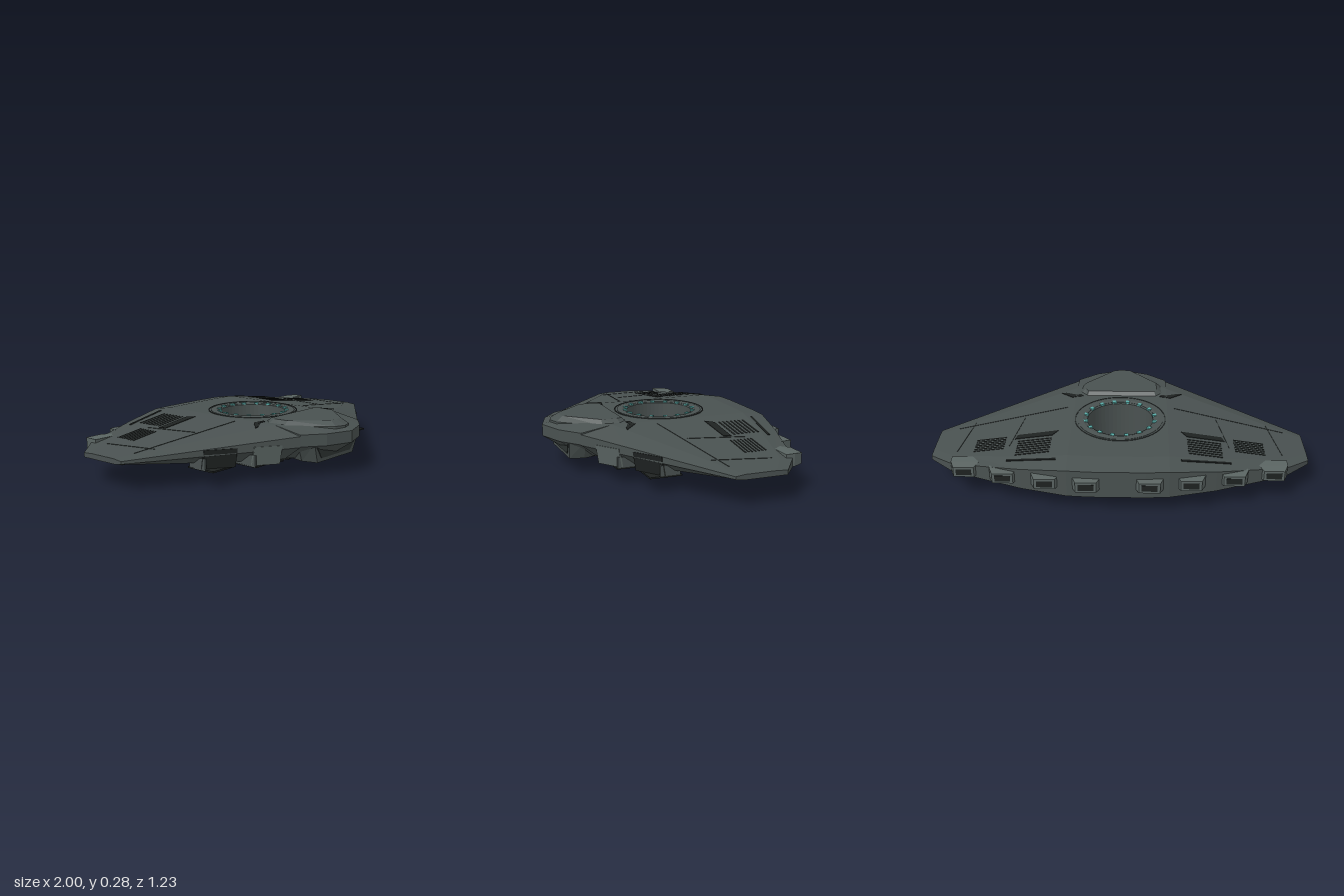
import * as THREE from 'three';

const mat = (name, color) => {
  const m = new THREE.MeshStandardMaterial({ color });
  m.name = name;
  return m;
};

export function createModel() {
  const hull = mat('hull grey', 0x495150);
  const trim = mat('light trim', 0x5a6462);
  const dark = mat('dark recess', 0x1e2221);
  const seam = mat('panel seam', 0x303635);
  const teal = mat('teal light', 0x58aaa6);
  const ship = new THREE.Group();
  ship.name = 'ship';

  const add = (name, geo, m, parent = ship) => {
    const mesh = new THREE.Mesh(geo, m);
    mesh.name = name;
    parent.add(mesh);
    return mesh;
  };

  // Closed faceted solid through matching rings of [x, y, z] points
  function solid(rings) {
    const n = rings[0].length, tris = [];
    for (let r = 0; r < rings.length - 1; r++)
      for (let i = 0; i < n; i++) {
        const j = (i + 1) % n, a = rings[r], b = rings[r + 1];
        tris.push([a[i], a[j], b[j]], [a[i], b[j], b[i]]);
      }
    const first = rings[0], last = rings[rings.length - 1];
    for (let i = 1; i < n - 1; i++) {
      tris.push([first[0], first[i + 1], first[i]], [last[0], last[i], last[i + 1]]);
    }
    // Turn the faces outward whichever way the rings run
    let volume = 0;
    const v = tris.map(t => t.map(p => new THREE.Vector3(...p)));
    for (const [a, b, c] of v) volume += a.dot(new THREE.Vector3().crossVectors(b, c));
    if (volume < 0) v.forEach(t => t.reverse());
    const geo = new THREE.BufferGeometry().setFromPoints(v.flat());
    geo.computeVertexNormals();
    return geo;
  }
  const flip = rings => rings.map(r => r.map(([x, y, z]) => [-x, y, z]));
  const both = (name, rings, m) => {
    add('left ' + name, solid(rings), m);
    add('right ' + name, solid(flip(rings)), m);
  };
  const block = (x0, x1, y0, y1, z0, z1) =>
    [x0, x1].map(x => [[x, y0, z0], [x, y1, z0], [x, y1, z1], [x, y0, z1]]);

  // Hull surface rules
  const mix = THREE.MathUtils.lerp;
  const t = x => Math.max(0, (x - 0.26) / 0.74);
  const topY = x => mix(0.26, 0.16, t(x));
  const lowY = x => mix(0.09, 0.133, t(x) ** 1.5);
  const frontZ = x => mix(0.475, -0.035, t(x));
  const wingFace = x => [mix(0.222, 0.154, t(x)), mix(0.165, 0.14, t(x))];

  // Wings, lofted outward from the centre
  const wing = [[0.26, -0.577], [0.5, -0.525], [0.8, -0.435], [0.88, -0.405], [1, -0.31]].map(([x, zr]) => {
    const zf = frontZ(x), [hi, lo] = wingFace(x), k = 1 - t(x);
    return [
      [x, hi, zf], [x, lo, zf], [x, lowY(x), zf - 0.04 - 0.06 * k], [x, lowY(x), zr],
      [x, topY(x) - 0.004 - 0.016 * k, zr], [x, topY(x), zr + 0.06 + 0.06 * k],
      [x, topY(x), zf - 0.05 - 0.12 * k],
    ];
  });
  both('wing', wing, hull);

  // Nose and tail of the centre body
  const nose = [[-0.26, 0.475, 0.305], [-0.15, 0.56, 0.42], [0, 0.612, 0.5], [0.15, 0.56, 0.42], [0.26, 0.475, 0.305]];
  add('nose', solid(nose.map(([x, zf, ridge]) => [
    [x, 0.23, zf], [x, 0.168, zf], [x, 0.09, zf - 0.12], [x, 0.09, 0.19], [x, 0.26, 0.19], [x, 0.26, ridge],
  ])), hull);
  add('tail', solid([[-0.26, -0.577], [-0.14, -0.585], [0.14, -0.585], [0.26, -0.577]].map(([x, zr]) => [
    [x, 0.26, -0.32], [x, 0.09, -0.32], [x, 0.09, zr], [x, 0.24, zr], [x, 0.26, zr + 0.12],
  ])), hull);

  // Centre plate with the round well
  const plate = new THREE.Shape([[-0.26, -0.19], [0.26, -0.19], [0.26, 0.32], [-0.26, 0.32]].map(p => new THREE.Vector2(...p)));
  plate.holes.push(new THREE.Path().absarc(0, 0.06, 0.19, 0, Math.PI * 2, true));
  const plateGeo = new THREE.ExtrudeGeometry(plate, { depth: 0.17, bevelEnabled: false, curveSegments: 32 });
  plateGeo.rotateX(-Math.PI / 2).translate(0, 0.09, 0);
  add('centre plate', plateGeo, hull);

  // Ring drum: well wall, lower drum and rims
  const ring = new THREE.Group();
  ring.name = 'ring drum';
  ring.position.z = -0.06;
  ship.add(ring);
  const lathe = (name, pts, m) => {
    const g = new THREE.LatheGeometry(pts.map(p => new THREE.Vector2(...p)), 48).toNonIndexed();
    g.computeVertexNormals();
    add(name, g, m, ring);
  };
  lathe('drum wall', [[0.18, 0.008], [0.245, 0.008], [0.253, 0.016], [0.253, 0.085], [0.235, 0.1],
    [0.235, 0.262], [0.205, 0.264], [0.18, 0.255], [0.18, 0.008]], hull);
  lathe('drum seam', [[0.252, 0.018], [0.2555, 0.018], [0.2555, 0.024], [0.252, 0.024]], dark);
  lathe('top rim seam', [[0.25, 0.2595], [0.25, 0.2625], [0.244, 0.2625], [0.244, 0.2595]], seam);
  for (let i = 0; i < 16; i++) {
    const a = (i + 0.5) / 16 * Math.PI * 2;
    const unit = new THREE.Group();
    unit.name = 'ring light';
    unit.rotation.y = a;
    ring.add(unit);
    add('upper light', new THREE.BoxGeometry(0.022, 0.009, 0.022).translate(0, 0.261, 0.191), teal, unit);
    add('lower light', new THREE.BoxGeometry(0.022, 0.006, 0.022).translate(0, 0.006, 0.197), teal, unit);
    add('lower clamp', new THREE.BoxGeometry(0.05, 0.008, 0.025).translate(0, 0.004, 0.226), dark, unit);
    if (i % 2) add('drum rib', new THREE.BoxGeometry(0.012, 0.06, 0.008).translate(0, 0.055, 0.252), seam, unit);
  }

  // Raised command deck with bevelled sides
  const level = (pts, y) => pts.map(([x, z]) => [x, y, z]);
  const deckLow = [[-0.2, 0.2], [0.2, 0.2], [0.245, 0.25], [0.235, 0.35], [0.06, 0.55], [0, 0.57], [-0.06, 0.55], [-0.235, 0.35], [-0.245, 0.25]];
  const deckTop = [[-0.19, 0.23], [0.19, 0.23], [0.205, 0.26], [0.2, 0.345], [0.045, 0.51], [0, 0.515], [-0.045, 0.51], [-0.2, 0.345], [-0.205, 0.26]];
  add('command deck', solid([level(deckLow, 0.235), level(deckLow, 0.252), level(deckTop, 0.278)]), hull);

  // Chin block beneath the nose
  const chinTop = [[-0.25, 0.14], [0.25, 0.14], [0.25, 0.45], [0.2, 0.52], [-0.2, 0.52], [-0.25, 0.45]];
  const chinLow = [[-0.19, 0.18], [0.19, 0.18], [0.2, 0.44], [0.16, 0.51], [-0.16, 0.51], [-0.2, 0.44]];
  add('chin', solid([level(chinTop, 0.18), chinLow.map(([x, z]) => [x, 0.1 - (z - 0.18) * 0.085, z])]), hull);
  add('chin window', solid([0.523, 0.517].map(z =>
    [[-0.18, 0.16, z], [0.18, 0.16, z], [0.13, 0.092, z - 0.008], [-0.13, 0.092, z - 0.008]])), seam);

  // Scoops hanging beneath the leading edges
  for (const [name, x0, x1, z, face] of [['inner scoop', 0.34, 0.46, 0.35, trim], ['outer scoop', 0.53, 0.67, 0.255, dark]]) {
    both(name + ' face', [x0, x1].map(x => {
      const zf = frontZ(x);
      return [[x, 0.085, zf - 0.02], [x, 0.183, zf - 0.003], [x, 0.183, zf + 0.004], [x, 0.085, zf - 0.012]];
    }), face);
    both(name + ' floor', block(x0, x1, 0.078, 0.086, z - 0.17, z), dark);
    for (const x of [x0, x1 - 0.012]) both(name + ' wall', block(x, x + 0.012, 0.08, 0.14, z - 0.16, Math.min(z, frontZ(x))), hull);
  }

  // Engine pods along the trailing edge
  for (const [x, z, y] of [[0.16, -0.62, 0.17], [0.37, -0.59, 0.168], [0.59, -0.535, 0.163], [0.8, -0.472, 0.158]]) {
    const rect = (w, h, zz) => [[x - w, y - h, zz], [x + w, y - h, zz], [x + w, y + h, zz], [x - w, y + h, zz]];
    both('engine pod', [rect(0.075, 0.033, z + 0.1), rect(0.073, 0.033, z + 0.05), rect(0.053, 0.028, z)], trim);
    both('engine nozzle', [rect(0.04, 0.017, z + 0.004), rect(0.04, 0.017, z - 0.002)], dark);
  }

  // Thin plates that follow the slope of the upper wing
  const skin = (name, pts, m, lift = 0.003, drop = 0) => both(name, [
    pts.map(([x, z]) => [x, topY(x) - drop - 0.003, z]), pts.map(([x, z]) => [x, topY(x) - drop + lift, z]),
  ], m);
  const strip = (name, x0, z0, x1, z1, w, m, drop = 0) =>
    skin(name, [[x0, z0 - w], [x1, z1 - w], [x1, z1 + w], [x0, z0 + w]], m, 0.002, drop);
  for (let i = 0; i < 7; i++) {
    strip('inner vent slat', 0.36, -0.4 + i * 0.023, 0.54, -0.4 + i * 0.023, 0.005, dark);
    strip('outer vent slat', 0.61, -0.32 + i * 0.019, 0.77, -0.32 + i * 0.019, 0.004, dark);
  }
  skin('vent lip', [[0.33, -0.19], [0.36, -0.235], [0.56, -0.235], [0.55, -0.195]], dark);
  strip('rear slot', 0.32, -0.475, 0.58, -0.44, 0.007, dark, 0.003);
  skin('shoulder slot', [[0.22, 0.2], [0.28, 0.185], [0.35, 0.255], [0.32, 0.25], [0.28, 0.215], [0.23, 0.22]], dark);
  strip('panel seam', 0.3, 0.07, 0.9, -0.05, 0.002, seam);
  for (const x of [0.58, 0.86]) skin('cross seam', [[x, -0.3], [x + 0.004, -0.3], [x - 0.046, 0], [x - 0.05, 0]], seam, 0.002);

  // Ladder spars under the wings
  const spar = (x0, x1, z0, z1, h) => [x0, x1].map(x => {
    const y = mix(0.066, 0.098, (x - 0.3) / 0.6);
    return [[x, y - h, z0], [x, y + 0.035, z0], [x, y + 0.035, z1], [x, y - h, z1]];
  });
  both('spar', spar(0.3, 0.9, -0.265, -0.145, 0), seam);
  for (let i = 0; i < 5; i++) both('spar panel', spar(0.34 + i * 0.11, 0.4 + i * 0.11, -0.25, -0.16, 0.004), trim);
  return ship;
}
